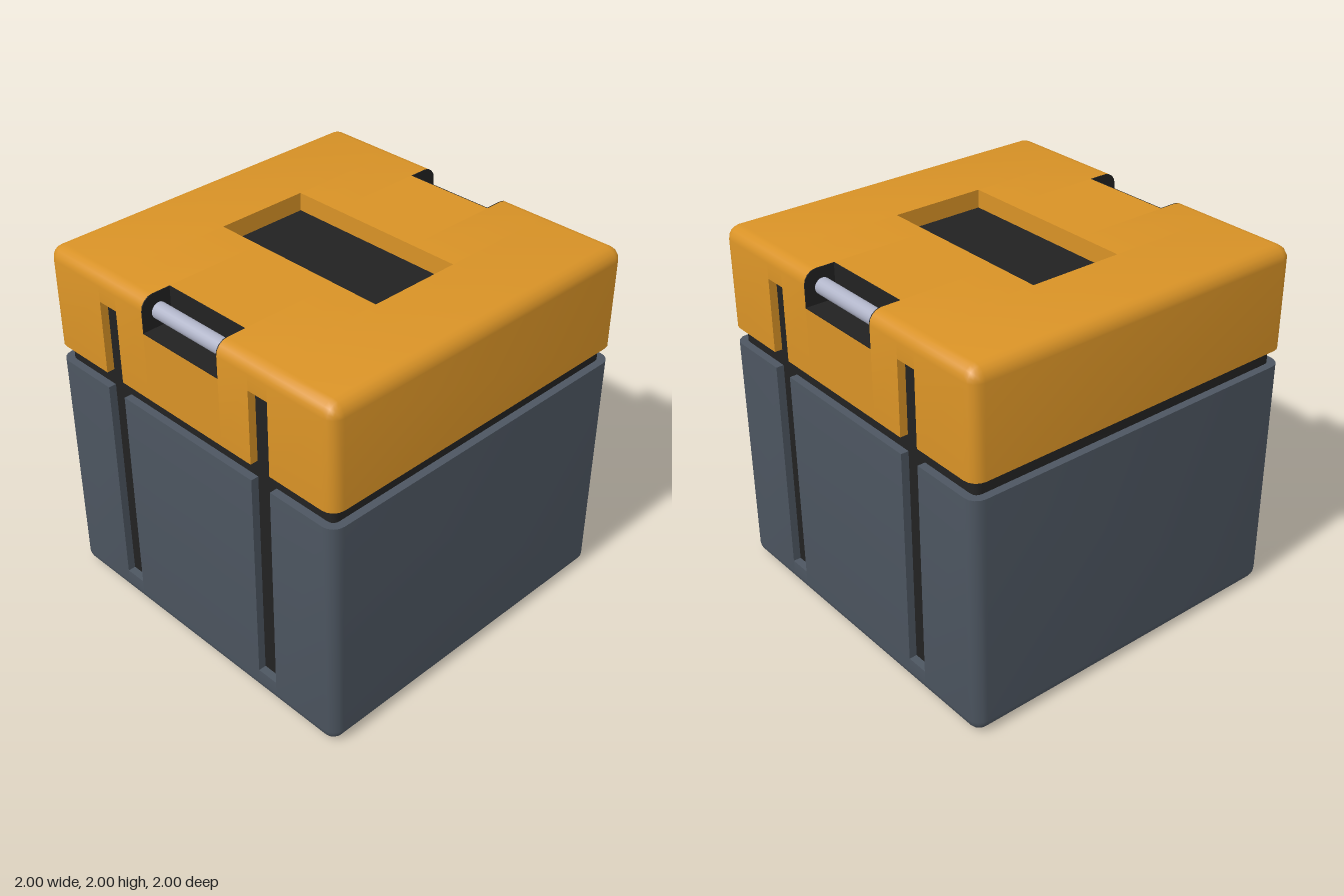
import * as THREE from 'three';
import { mergeGeometries, toCreasedNormals } from 'three/addons/utils/BufferGeometryUtils.js';

const R = 0.07;          // edge rounding
const ARC = 4;           // segments per rounded edge
const CORE = 0.957;      // half width of the dark core
const GROOVE_Z = 0.53, GROOVE_W = 0.125;
const NOTCH_Z = 0.265, NOTCH_X = 0.825, NOTCH_D = 0.19;

const material = (name, color) => {
  const m = new THREE.MeshStandardMaterial({ color });
  m.name = name;
  return m;
};

// quarter arc from the side up to the top
function arc(x, h, r) {
  const pts = [];
  for (let i = 0; i <= ARC; i++) {
    const a = (i / ARC) * Math.PI / 2;
    pts.push([x - r + r * Math.cos(a), h - r + r * Math.sin(a)]);
  }
  return pts;
}

const mirrorPoints = half => [...half, ...half.slice().reverse().map(([x, y]) => [-x, y])];
const toShape = pts => new THREE.Shape(pts.map(([x, y]) => new THREE.Vector2(x, y)));

// cross-section of a half shell, with its optional cuts
function profile(h, { groove, notch, recess }) {
  const half = groove ? [[CORE - 0.005, 0], [CORE - 0.005, groove], [1, groove]] : [[1, 0]];
  if (notch) half.push([1, h - NOTCH_D], [NOTCH_X, h - NOTCH_D], [NOTCH_X, h]);
  else half.push(...arc(1, h, R));
  if (recess) half.push([0.265, h], [0.265, h - 0.105]);
  return mirrorPoints(half);
}

function slab(h, z0, z1, cuts) {
  const g = new THREE.ExtrudeGeometry(toShape(profile(h, cuts)), { depth: z1 - z0, bevelEnabled: false });
  g.translate(0, 0, z0);
  g.deleteAttribute('uv');
  g.deleteAttribute('normal');
  return g;
}

// rounded end: cross-sections shrinking toward z = 1
function roundedEnd(h) {
  const rings = [], pos = [];
  for (let i = 0; i <= ARC; i++) {
    const a = (i / ARC) * Math.PI / 2, c = R * Math.cos(a), z = 1 - R + R * Math.sin(a);
    const x = 1 - R + c;
    rings.push(mirrorPoints([[x, 0], ...arc(x, h - R + c, c)]).map(p => [...p, z]));
  }
  const n = rings[0].length;
  for (let i = 0; i < ARC; i++) {
    for (let j = 0; j < n; j++) {
      const k = (j + 1) % n;
      const a = rings[i][j], b = rings[i][k], c = rings[i + 1][j], d = rings[i + 1][k];
      pos.push(...a, ...b, ...d, ...a, ...d, ...c);
    }
  }
  const last = rings[ARC];
  for (let j = 1; j < n - 1; j++) pos.push(...last[0], ...last[j], ...last[j + 1]);
  const g = new THREE.BufferGeometry();
  g.setAttribute('position', new THREE.Float32BufferAttribute(pos, 3));
  return g;
}

// half shell: flat at y = 0, rounded on top at y = h
function shell(h, groove, notch, recess) {
  const g0 = GROOVE_Z - GROOVE_W / 2, g1 = GROOVE_Z + GROOVE_W / 2;
  const parts = [slab(h, -NOTCH_Z, NOTCH_Z, { notch, recess })];
  const spans = [
    [NOTCH_Z, g0, { recess }],
    [g0, GROOVE_Z, { groove, recess }],
    [GROOVE_Z, g1, { groove }],
    [g1, 1 - R, {}],
  ];
  for (const [a, b, cuts] of spans) parts.push(slab(h, a, b, cuts), slab(h, -b, -a, cuts));
  parts.push(roundedEnd(h), roundedEnd(h).rotateY(Math.PI));
  return toCreasedNormals(mergeGeometries(parts), 0.6);
}

export function createModel() {
  const orange = material('orange', 0xd89226);
  const slate = material('slate grey', 0x4d5661);
  const black = material('black', 0x222222);
  const steel = material('pale steel', 0xb0b4c8);

  const model = new THREE.Group();
  model.name = 'storageCrate';
  const add = (name, geometry, mat, x = 0, y = 0, z = 0, parent = model) => {
    const m = new THREE.Mesh(geometry, mat);
    m.name = name;
    m.position.set(x, y, z);
    parent.add(m);
    return m;
  };
  const box = (w, h, d) => new THREE.BoxGeometry(w, h, d);

  // lid and base
  add('lid', shell(0.56, 0.405, true, true), orange, 0, 1.44, 0);
  add('base', shell(1.35, 1.205, false, false).rotateZ(Math.PI), slate, 0, 1.35, 0);

  // dark seam between them, with softly rounded corners
  const k = CORE, c = 0.04;
  const outline = new THREE.Shape();
  outline.moveTo(k, -k + c).lineTo(k, k - c).quadraticCurveTo(k, k, k - c, k)
    .lineTo(-k + c, k).quadraticCurveTo(-k, k, -k, k - c)
    .lineTo(-k, -k + c).quadraticCurveTo(-k, -k, -k + c, -k)
    .lineTo(k - c, -k).quadraticCurveTo(k, -k, k, -k + c);
  const seam = new THREE.ExtrudeGeometry(outline, { depth: 0.1, bevelEnabled: false, curveSegments: 4 });
  add('seamCore', toCreasedNormals(seam.rotateX(-Math.PI / 2), 0.6), black, 0, 1.345, 0);

  // floor of the top recess
  add('topPanel', box(0.53, 0.005, 2 * GROOVE_Z), black, 0, 1.8975, 0);

  // dark end wall of the handle notch, following the rounded edge
  const wallShape = toShape([[NOTCH_X, 2 - NOTCH_D], [1, 2 - NOTCH_D], ...arc(1, 2, R), [NOTCH_X, 2]]);
  const wall = new THREE.ExtrudeGeometry(wallShape, { depth: 0.005, bevelEnabled: false });

  // the same fittings on both sides
  for (const side of [1, -1]) {
    const group = new THREE.Group();
    group.name = side > 0 ? 'leftFittings' : 'rightFittings';
    group.rotation.y = side > 0 ? 0 : Math.PI;
    model.add(group);

    for (const z of [GROOVE_Z, -GROOVE_Z]) {
      add('grooveStrip', box(0.005, 1.7, GROOVE_W), black, CORE - 0.0025, 0.995, z, group);
    }
    add('notchFloor', box(1 - NOTCH_X, 0.005, 2 * NOTCH_Z), black, (1 + NOTCH_X) / 2, 2 - NOTCH_D + 0.0025, 0, group);
    add('notchBack', box(0.005, NOTCH_D, 2 * NOTCH_Z), black, NOTCH_X + 0.0025, 2 - NOTCH_D / 2, 0, group);
    add('notchEnd', wall, black, 0, 0, -NOTCH_Z, group);
    add('notchEnd', wall, black, 0, 0, NOTCH_Z - 0.005, group);

    const bar = new THREE.CylinderGeometry(0.044, 0.044, 2 * NOTCH_Z - 0.01, 20).rotateX(Math.PI / 2);
    add('handleBar', bar, steel, 0.9, 1.9, 0, group);
  }
  return model;
}
